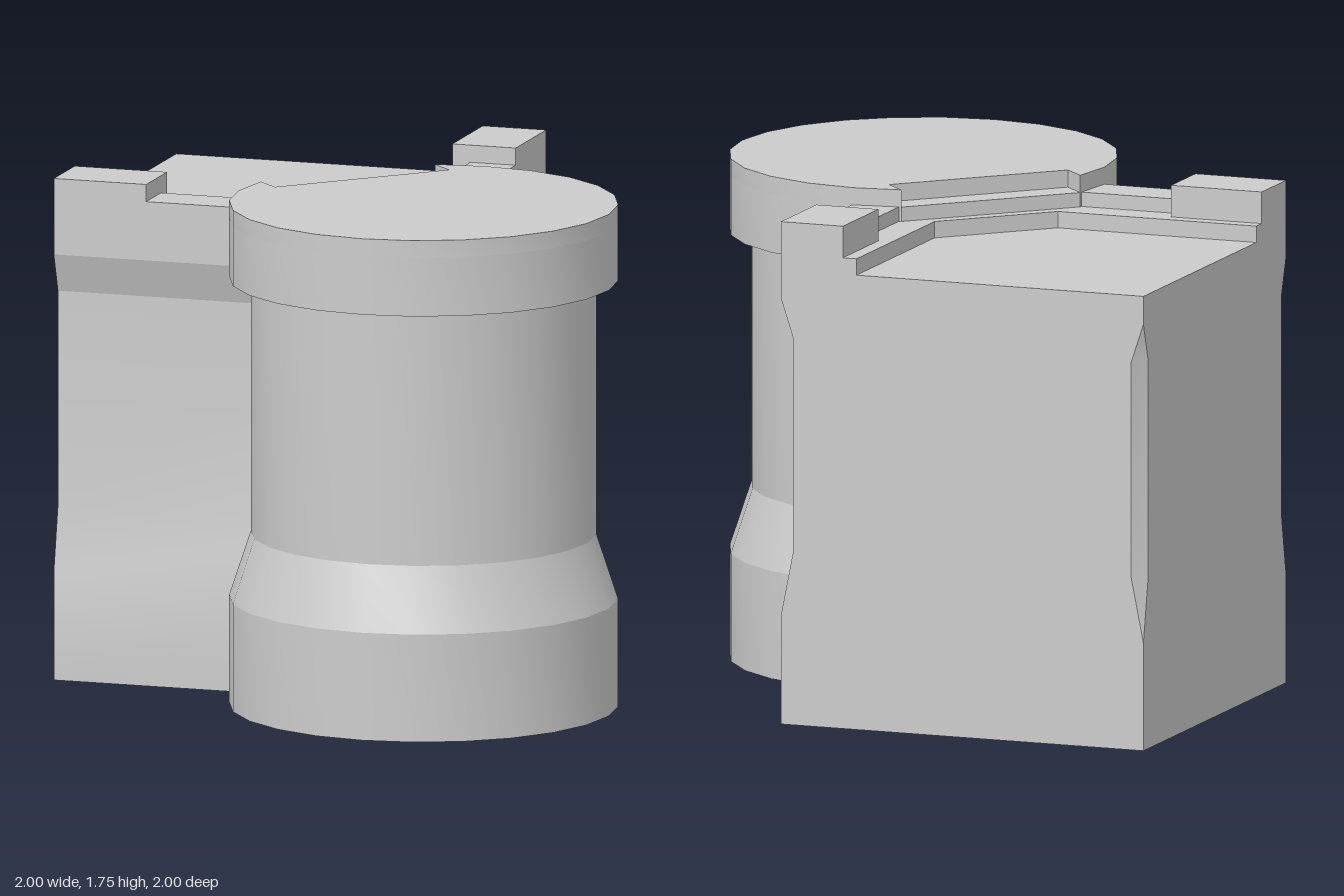
import * as THREE from 'three';
import { toCreasedNormals } from 'three/addons/utils/BufferGeometryUtils.js';

const W = 1 / 3;            // outer wall plane, also the tower centre
const R = 2 / 3;            // tower radius
const SIDES = 24;
const FLOOR = 1.583, LEDGE = 1.64, CRENEL = 1.69, TOP = 1.75;
const material = new THREE.MeshStandardMaterial({ color: 0xcccccc });

function part(name, geometry) {
  const mesh = new THREE.Mesh(toCreasedNormals(geometry, 0.28), material);
  mesh.name = name;
  return mesh;
}

// Upright prism over a plan outline of [x, z] points
function prism(name, plan, y0, y1) {
  const shape = new THREE.Shape(plan.map(([x, z]) => new THREE.Vector2(x, -z)));
  const geometry = new THREE.ExtrudeGeometry(shape, { depth: y1 - y0, bevelEnabled: false });
  geometry.rotateX(-Math.PI / 2).translate(0, y0, 0);
  return part(name, geometry);
}

const rect = (x0, x1, z0, z1) => [[x0, z0], [x0, z1], [x1, z1], [x1, z0]];
const swap = (plan) => plan.map(([x, z]) => [z, x]);

// Solid joined from horizontal outlines, all with the same number of points
function loft(rings) {
  const pos = [];
  const tri = (a, b, c) => {
    if (new THREE.Triangle(a, b, c).getArea() > 1e-7) {
      for (const p of [a, b, c]) pos.push(p.x, p.y, p.z);
    }
  };
  const n = rings[0].length;
  for (let i = 0; i + 1 < rings.length; i++) {
    for (let j = 0; j < n; j++) {
      const k = (j + 1) % n, lo = rings[i], hi = rings[i + 1];
      tri(lo[j], lo[k], hi[k]);
      tri(lo[j], hi[k], hi[j]);
    }
  }
  const bottom = rings[0], top = rings[rings.length - 1];
  for (let j = 1; j + 1 < n; j++) {
    tri(bottom[0], bottom[j + 1], bottom[j]);
    tri(top[0], top[j], top[j + 1]);
  }
  const geometry = new THREE.BufferGeometry();
  geometry.setAttribute('position', new THREE.Float32BufferAttribute(pos, 3));
  return geometry;
}

export function createModel() {
  const model = new THREE.Group();
  model.name = 'cornerTower';

  // Wall block: recessed faces and a chipped back corner
  const d = 0.045;
  const levels = [[0, 0], [0.375, 0], [0.6, d], [1.35, d], [1.485, 0], [FLOOR, 0]];
  const rings = levels.map(([y, r]) => [
    [-1 + r, -1], [-1, -1 + r], [-1, W - r], [W - r, W - r], [W - r, -1],
  ].map(([x, z]) => new THREE.Vector3(x, y, z)));
  model.add(part('wallBlock', loft(rings)));

  // Low ledge around the floor
  model.add(prism('ledge', [
    [-1, 0.055], [-0.27, 0.055], [0.055, -0.27], [0.055, -1], [W, -1], [W, W], [-1, W],
  ], FLOOR, LEDGE));

  // Parapet of each wall
  for (const [side, place] of [['front', (p) => p], ['left', swap]]) {
    model.add(prism(side + 'Merlon', place(rect(-1, -0.667, 0.105, W)), LEDGE, TOP));
    model.add(prism(side + 'Parapet', place(rect(-0.667, -0.31, 0.17, W)), LEDGE, CRENEL));
  }

  // Tower base, taper and shaft
  const profile = [[0, 0], [R, 0], [R, 0.375], [0.592, 0.6], [0.592, 1.485]];
  const shaft = new THREE.LatheGeometry(profile.map(([r, y]) => new THREE.Vector2(r, y)), SIDES);
  model.add(part('towerShaft', shaft.translate(W, 0, W)));

  // Tower head, cut flat towards the floor
  const head = [];
  for (let i = -7; i <= 13; i++) {
    const a = i * 2 * Math.PI / SIDES;
    head.push([W + R * Math.cos(a), W + R * Math.sin(a)]);
  }
  model.add(prism('towerHead', head, 1.485, CRENEL));

  // Tower top, notched by a step behind the cut
  const s = 0.075;
  const first = head[0], last = head[head.length - 1];
  const notched = [...head, [last[0] + s, last[1] + s], [first[0] + s, first[1] + s]];
  model.add(prism('towerTop', notched, CRENEL, TOP));

  return model;
}
